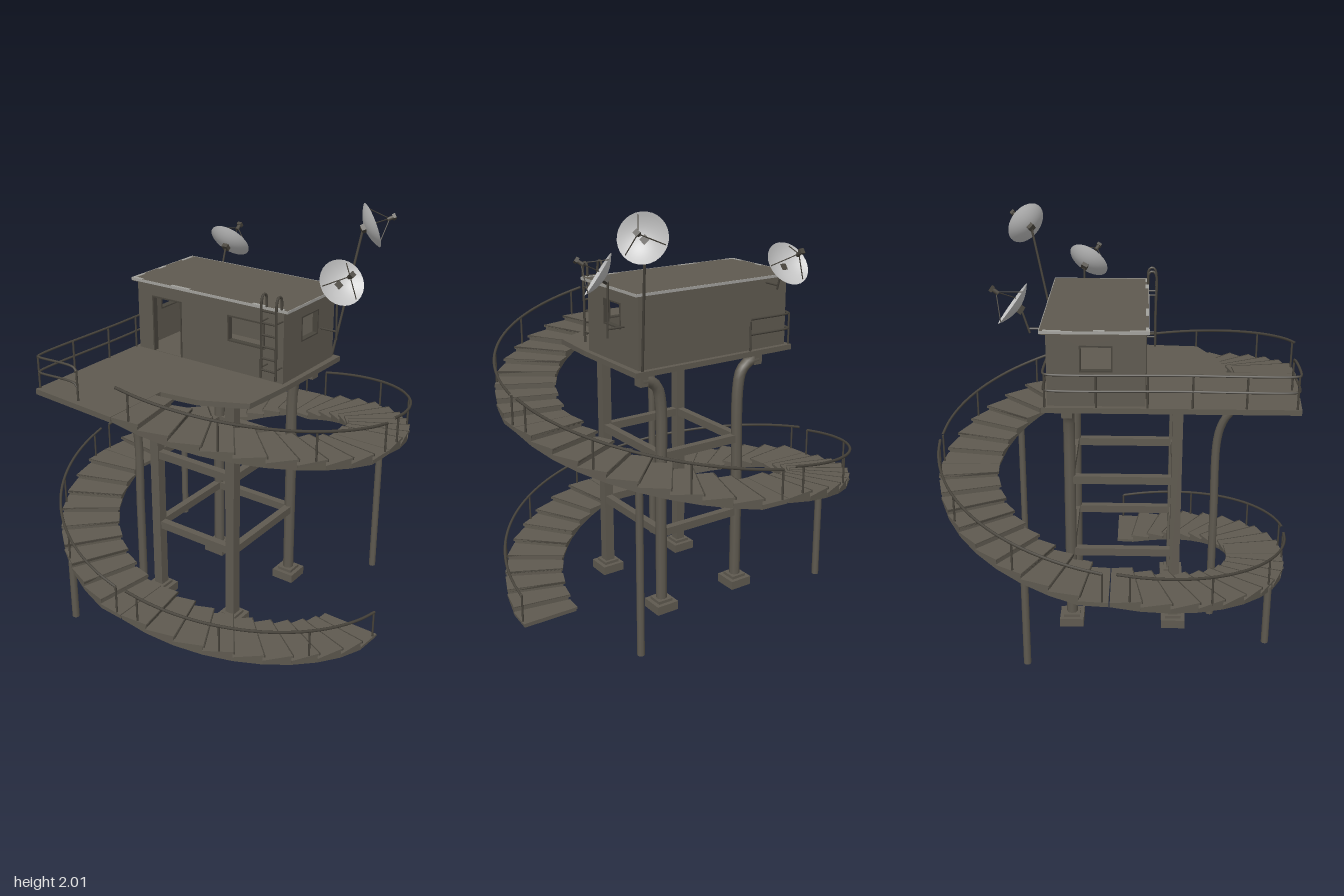
import * as THREE from 'three';

const V = (x, y, z) => new THREE.Vector3(x, y, z);

export function createModel() {
  const model = new THREE.Group();
  const mat = (name, color, extra = {}) => {
    const m = new THREE.MeshStandardMaterial({ color, ...extra });
    m.name = name;
    return m;
  };
  const concrete = mat('weathered brown grey', 0x5f5a50);
  const iron = mat('dark iron', 0x48443c);
  const pale = mat('worn pale edge', 0xa3a29d);
  const dishGrey = mat('dish grey', 0xc2c2c2, { side: THREE.DoubleSide });

  const group = (name, parent = model) => {
    const g = new THREE.Group();
    g.name = name;
    parent.add(g);
    return g;
  };
  const add = (parent, name, geo, m) => {
    const mesh = new THREE.Mesh(geo, m);
    mesh.name = name;
    parent.add(mesh);
    return mesh;
  };
  // box given by its lower and upper corners
  const box = (parent, name, x0, x1, y0, y1, z0, z1, m = concrete) => {
    const geo = new THREE.BoxGeometry(x1 - x0, y1 - y0, z1 - z0);
    geo.translate((x0 + x1) / 2, (y0 + y1) / 2, (z0 + z1) / 2);
    return add(parent, name, geo, m);
  };
  const rod = (parent, name, a, b, r = 0.005, m = iron, sides = 6) => {
    const mesh = add(parent, name, new THREE.CylinderGeometry(r, r, a.distanceTo(b), sides), m);
    mesh.position.copy(a).lerp(b, 0.5);
    mesh.quaternion.setFromUnitVectors(V(0, 1, 0), b.clone().sub(a).normalize());
    return mesh;
  };
  const tube = (parent, name, pts, r, m, segs = 24, sides = 6) =>
    add(parent, name, new THREE.TubeGeometry(new THREE.CatmullRomCurve3(pts, false, 'centripetal'), segs, r, sides), m);

  // ---- Spiral stair: five quarter turns, each starting and ending on a landing
  const RIN = 0.585, ROUT = 0.88, RISE = 0.028, DEG = Math.PI / 180;
  const polar = (r, deg, y) => V(r * Math.cos(deg * DEG), y, r * Math.sin(deg * DEG));
  const wedge = (r0, r1, a0, a1, top, low0, low1) => {
    const geo = new THREE.BoxGeometry(1, 1, 1);
    const p = geo.attributes.position;
    for (let i = 0; i < p.count; i++) {
      const end = p.getZ(i) > 0;
      const v = polar(p.getX(i) > 0 ? r1 : r0, end ? a1 : a0, p.getY(i) > 0 ? top : end ? low1 : low0);
      p.setXYZ(i, v.x, v.y, v.z);
    }
    geo.computeVertexNormals();
    return geo;
  };
  const stair = group('spiralStair');
  for (let q = 0; q < 5; q++) {
    const base = 0.02 + q * 9 * RISE;
    const under = k => Math.max(0, base - 0.024 + RISE * Math.max(0, k - 1));
    for (let i = 0; i < 10; i++) {
      const a0 = q * 90 + i * 9 + (i === 0 ? 0.2 : 0), a1 = q * 90 + (i + 1) * 9 - (i === 9 ? 0.2 : 0);
      const top = base + i * RISE;
      add(stair, 'stepBody', wedge(RIN + 0.008, ROUT - 0.004, a0, a1, top - 0.01, under(i), under(i + 1)), concrete);
      add(stair, 'tread', wedge(RIN, ROUT, a0 - (i ? 0.8 : 0), a1, top, top - 0.011, top - 0.011), concrete);
      if (i) add(stair, 'treadNosing', wedge(RIN, ROUT, a0 - 0.8, a0 - 0.4, top + 0.001, top - 0.011, top - 0.011), iron);
    }
    // outer handrail of this quarter
    const railY = t => base + 0.142 + 9 * RISE * t;
    const pts = [];
    for (let k = 0; k <= 12; k++) pts.push(polar(ROUT - 0.005, q * 90 + 2 + 86 * k / 12, railY(k / 12)));
    tube(stair, 'stairHandrail', pts, 0.007, iron, 36);
    for (const d of [2, 30, 58, 84]) {
      const a = q * 90 + d;
      rod(stair, 'stairRailPost', polar(ROUT - 0.008, a, base + RISE * Math.floor(d / 9) - 0.01),
        polar(ROUT - 0.008, a, railY((d - 2) / 86)));
    }
  }
  for (const [x, z, h] of [[0.56, -0.54, 0.89], [-0.63, -0.4, 0.59], [-0.425, 0.755, 0.34]])
    rod(stair, 'stairSupportPost', V(x, 0.02, z), V(x, h, z), 0.018, concrete, 8);

  // ---- Tower legs, feet and ties
  const tower = group('tower');
  const LX = [-0.235, 0.225], LZ = [-0.21, 0.305];
  for (const x of LX) for (const z of LZ) {
    box(tower, 'foot', x - 0.06, x + 0.06, 0, 0.045, z - 0.06, z + 0.06);
    box(tower, 'footCap', x - 0.04, x + 0.04, 0.045, 0.06, z - 0.04, z + 0.04);
    if (z > 0) {
      box(tower, 'frontLeg', x - 0.025, x + 0.025, 0.05, 1.256, z - 0.025, z + 0.025);
    } else {
      // rear legs bend outwards under the platform
      const s = Math.sign(x);
      tube(tower, 'rearLeg', [V(x, 0.05, z), V(x, 0.6, z), V(x, 1.08, z), V(x + s * 0.02, 1.16, z),
        V(x + s * 0.07, 1.2, z), V(x + s * 0.11, 1.205, z)], 0.028, concrete, 40, 8);
      const cx = x + s * 0.105;
      box(tower, 'rearLegHead', cx - 0.022, cx + 0.022, 1.18, 1.256, z - 0.025, z + 0.025);
    }
  }
  for (const y of [0.415, 0.812]) {
    for (const z of LZ) box(tower, 'crossTie', LX[0], LX[1], y - 0.02, y + 0.02, z - 0.018, z + 0.018);
    for (const x of LX) box(tower, 'sideTie', x - 0.018, x + 0.018, y - 0.02, y + 0.02, LZ[0], LZ[1]);
  }
  tube(tower, 'curvedFrontPost', [V(-0.19, 0.03, 0.495), V(-0.19, 0.6, 0.495), V(-0.19, 1.02, 0.5),
    V(-0.2, 1.12, 0.53), V(-0.215, 1.19, 0.58), V(-0.22, 1.26, 0.62)], 0.02, concrete, 40, 8);

  // ---- Platform
  const deck = group('platform');
  const outline = [[-0.48, -0.315], [0.425, -0.315], [0.42, 0.16], [0.4, 0.42], [0.19, 0.52], [0, 0.545], [0, 0.88], [-0.48, 0.845]];
  const deckGeo = new THREE.ExtrudeGeometry(new THREE.Shape(outline.map(([x, z]) => new THREE.Vector2(x, -z))),
    { depth: 0.026, bevelEnabled: false });
  deckGeo.rotateX(-Math.PI / 2).translate(0, 1.254, 0);
  add(deck, 'deck', deckGeo, concrete);
  const RX = -0.472;
  for (const y of [1.36, 1.435])
    tube(deck, 'platformRail', [V(-0.23, y, -0.305), V(-0.46, y, -0.305), V(RX, y, -0.295), V(RX, y, 0.3),
      V(RX, y, 0.82), V(-0.46, y, 0.832), V(-0.245, y, 0.832), V(-0.23, y - 0.015, 0.832)], 0.006, iron, 80);
  for (const z of [-0.3, -0.07, 0.16, 0.36, 0.6, 0.825]) rod(deck, 'platformRailPost', V(RX, 1.28, z), V(RX, 1.435, z));
  for (const z of [-0.305, 0.832]) rod(deck, 'platformRailPost', V(-0.23, 1.28, z), V(-0.23, 1.425, z));

  // ---- Hut: walls with real openings and thin frames
  const hut = group('hut');
  const Y0 = 1.28, Y1 = 1.62, T = 0.02;
  const wall = (name, a, b, holes) => {
    const g = group(name, hut);
    const rect = (C, x0, x1, y0, y1) => new C([[x0, y0], [x1, y0], [x1, y1], [x0, y1]].map(p => new THREE.Vector2(...p)));
    const shape = rect(THREE.Shape, a, b, Y0, Y1);
    for (const h of holes) {
      shape.holes.push(rect(THREE.Path, ...h));
      const [x0, x1, y0, y1] = h, f = 0.007;
      for (const x of [x0, x1]) box(g, 'frameUpright', x - f / 2, x + f / 2, y0, y1, -0.003, T + 0.005, iron);
      for (const y of y0 > 1.3 ? [y0, y1] : [y1]) box(g, 'frameBar', x0 - f / 2, x1 + f / 2, y - f / 2, y + f / 2, -0.003, T + 0.005, iron);
    }
    add(g, 'wallPanel', new THREE.ExtrudeGeometry(shape, { depth: T, bevelEnabled: false }), concrete);
    return g;
  };
  wall('frontWall', -0.455, 0.395, [[-0.36, -0.19, Y0 + 0.002, 1.56], [0.09, 0.29, 1.43, 1.55]]).position.z = 0.13;
  wall('backWall', -0.455, 0.395, []).position.z = -0.29;
  for (const [name, x] of [['rightWall', -0.435], ['leftWall', 0.395]]) {
    const g = wall(name, -0.27, 0.13, [[-0.14, 0, 1.445, 1.56]]);
    g.rotation.y = -Math.PI / 2;
    g.position.x = x;
  }
  box(hut, 'roof', -0.48, 0.42, Y1, 1.636, -0.315, 0.162);
  // pale worn strips along the roof edge
  for (const z of [-0.3165, 0.1635]) box(hut, 'roofEdge', -0.48, 0.42, 1.624, 1.637, z - 0.0015, z + 0.0015, pale);
  for (const x of [-0.4815, 0.4215]) box(hut, 'roofEdge', x - 0.0015, x + 0.0015, 1.624, 1.637, -0.317, 0.164, pale);
  for (const [x0, x1] of [[-0.48, -0.42], [-0.24, -0.13], [0.23, 0.3], [0.35, 0.4]])
    box(hut, 'wornPatch', x0, x1, 1.635, 1.638, 0.148, 0.162, pale);
  for (const [z0, z1] of [[-0.3, -0.22], [-0.08, -0.03], [0.08, 0.16]])
    box(hut, 'wornPatch', -0.48, -0.465, 1.635, 1.638, z0, z1, pale);

  // ---- Ladder to the roof
  const ladder = group('ladder');
  for (const x of [0.308, 0.388])
    tube(ladder, 'ladderRail', [V(x, 1.31, 0.2), V(x, 1.5, 0.2), V(x, 1.68, 0.2), V(x, 1.7, 0.188), V(x, 1.7, 0.172),
      V(x, 1.685, 0.162), V(x, 1.636, 0.16)], 0.006, iron, 40);
  for (let i = 0; i < 6; i++) rod(ladder, 'rung', V(0.308, 1.35 + i * 0.056, 0.2), V(0.388, 1.35 + i * 0.056, 0.2));
  for (const y of [1.36, 1.58]) for (const x of [0.308, 0.388]) rod(ladder, 'ladderBracket', V(x, y, 0.15), V(x, y, 0.2), 0.004);

  // ---- Satellite dishes, each with a receiver on three struts
  const bowl = [];
  for (let i = 0; i <= 8; i++) bowl.push(new THREE.Vector2(0.11 * i / 8, 0.036 * (i / 8) ** 2 - 0.02));
  const dish = (name, pos, normal) => {
    const g = group(name);
    add(g, 'bowl', new THREE.LatheGeometry(bowl, 28), dishGrey);
    const focus = V(0, 0.105, 0);
    for (let k = 0; k < 3; k++) {
      const a = k * 2 * Math.PI / 3;
      rod(g, 'strut', V(0.1 * Math.cos(a), 0.012, 0.1 * Math.sin(a)), focus, 0.0025);
    }
    rod(g, 'receiver', V(0, 0.092, 0), V(0, 0.125, 0), 0.01, iron, 8);
    box(g, 'receiverBox', -0.012, 0.012, 0.12, 0.135, -0.012, 0.012, iron);
    box(g, 'rearMount', -0.016, 0.016, -0.04, -0.018, -0.016, 0.016, iron);
    g.position.copy(pos);
    g.quaternion.setFromUnitVectors(V(0, 1, 0), normal.normalize());
  };
  dish('backDish', V(-0.33, 1.705, -0.43), V(0, 0.6, -0.8));
  dish('highDish', V(0.47, 1.9, -0.455), V(0.68, 0.33, -0.66));
  dish('sideDish', V(0.5, 1.7, -0.155), V(0.7, 0.55, 0.45));

  const mounts = group('dishMounts');
  rod(mounts, 'backDishArm', V(-0.33, 1.6, -0.28), V(-0.33, 1.6, -0.37));
  rod(mounts, 'backDishPole', V(-0.33, 1.58, -0.37), V(-0.33, 1.69, -0.405));
  rod(mounts, 'highDishPole', V(0.385, 1.28, -0.305), V(0.45, 1.89, -0.435), 0.006);
  rod(mounts, 'sideDishArm', V(0.39, 1.46, -0.17), V(0.48, 1.46, -0.17));
  rod(mounts, 'sideDishPole', V(0.482, 1.42, -0.17), V(0.475, 1.68, -0.17));

  return model;
}
